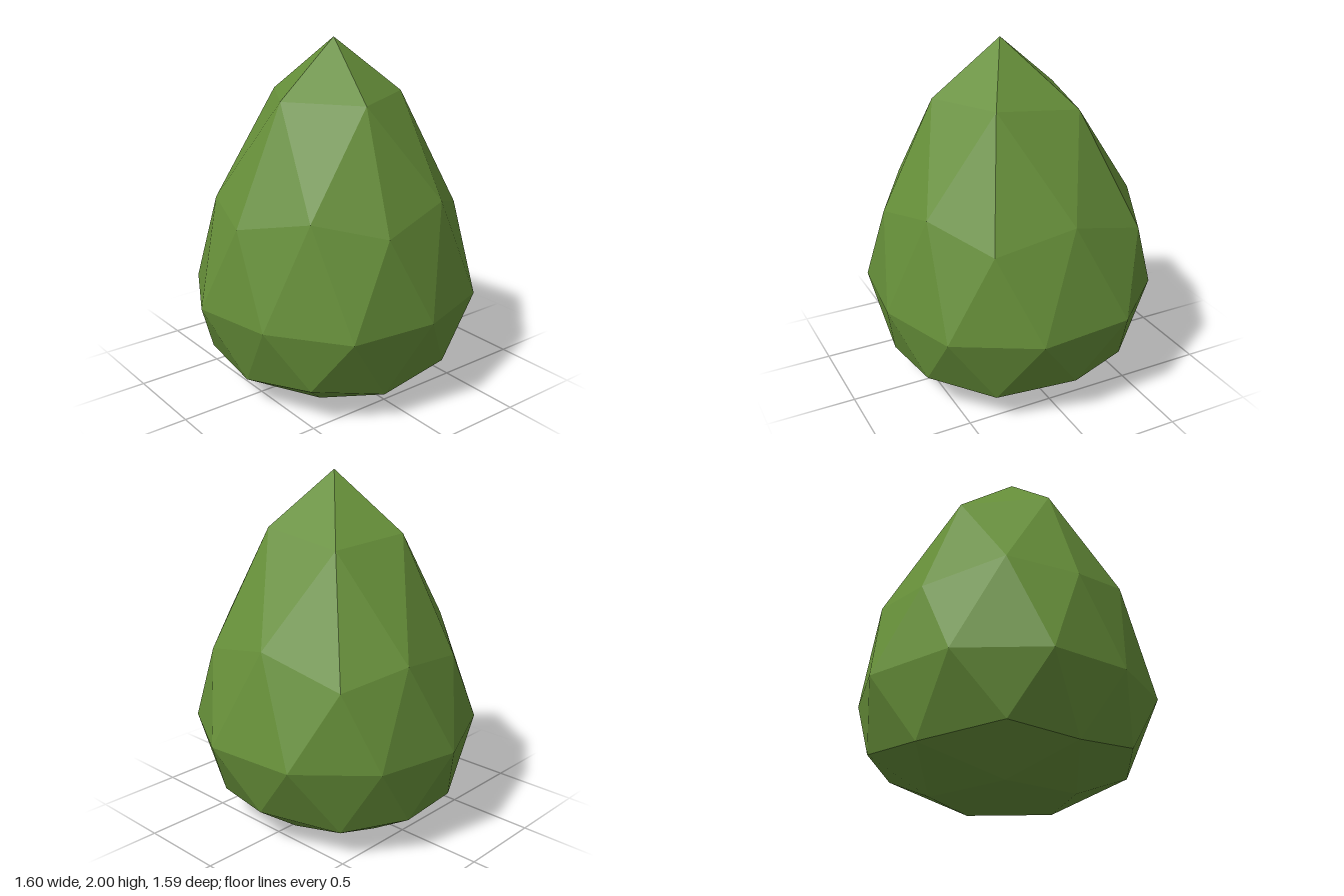
import * as THREE from 'three';

const green = new THREE.MeshStandardMaterial({ color: 0x668f39, flatShading: true });
green.name = 'leafGreen';

// Headings (degrees from +x towards +z) shared by the ten-sided rings
const headings = [33, 66, 103, 136, 172, 205, 246, 286, 316, 355];
const halfway = headings.map((a, i) => (a + (headings[i + 1] ?? headings[0] + 360)) / 2);

// One ring of points from headings, radii and heights
function ring(angles, radii, heights) {
  return angles.map((a, i) => {
    const t = THREE.MathUtils.degToRad(a), r = radii[i];
    return [r * Math.cos(t), heights[i % heights.length], r * Math.sin(t)];
  });
}

function createFoliageGeometry() {
  const apex = [-0.015, 2, 0.05];
  const crown = ring([37, 102, 167, 248, 319], [0.39, 0.43, 0.41, 0.37, 0.4], [1.7, 1.69, 1.7, 1.68, 1.64]);
  const upper = ring(headings, [0.72, 0.68, 0.72, 0.69, 0.7, 0.65, 0.67, 0.7, 0.75, 0.65],
    [1.04, 1.16, 1.06, 1.15, 1.06, 1.13, 1.02, 1.08, 0.99, 1.13]);
  const middle = ring(halfway, [0.84, 0.8, 0.85, 0.79, 0.81, 0.8, 0.8, 0.82, 0.82, 0.82], [0.56]);
  const lower = ring(headings, [0.68, 0.72, 0.7, 0.71, 0.66, 0.7, 0.67, 0.73, 0.68, 0.69], [0.17, 0.22]);
  const base = ring(headings.filter((a, i) => i % 2), [0.42, 0.4, 0.4, 0.4, 0.4], [0.01]);
  const foot = [-0.01, 0, 0];

  const points = [];
  const face = (a, b, c) => points.push(...a, ...b, ...c);

  // Triangulated like a once-subdivided icosahedron
  for (let i = 0; i < 5; i++) {
    const n = (i + 1) % 5, e = 2 * i, o = e + 1, e2 = (e + 2) % 10, o2 = (e + 3) % 10;
    // Pointed cap
    face(apex, crown[n], crown[i]);
    face(crown[i], upper[o], upper[e]);
    face(crown[i], crown[n], upper[o]);
    face(crown[n], upper[e2], upper[o]);
    // Rounded underside
    face(foot, base[i], base[n]);
    face(base[i], lower[e], lower[o]);
    face(base[i], lower[o], lower[e2]);
    face(base[i], lower[e2], base[n]);
  }
  // Zigzag belts around the middle
  for (let j = 0; j < 10; j++) {
    const n = (j + 1) % 10;
    face(upper[j], upper[n], middle[j]);
    face(upper[n], middle[n], middle[j]);
    face(lower[j], middle[j], lower[n]);
    face(lower[n], middle[j], middle[n]);
  }

  const geometry = new THREE.BufferGeometry();
  geometry.setAttribute('position', new THREE.Float32BufferAttribute(points, 3));
  geometry.computeVertexNormals();
  return geometry;
}

export function createModel() {
  const group = new THREE.Group();
  group.name = 'bush';
  const foliage = new THREE.Mesh(createFoliageGeometry(), green);
  foliage.name = 'foliage';
  group.add(foliage);
  return group;
}
